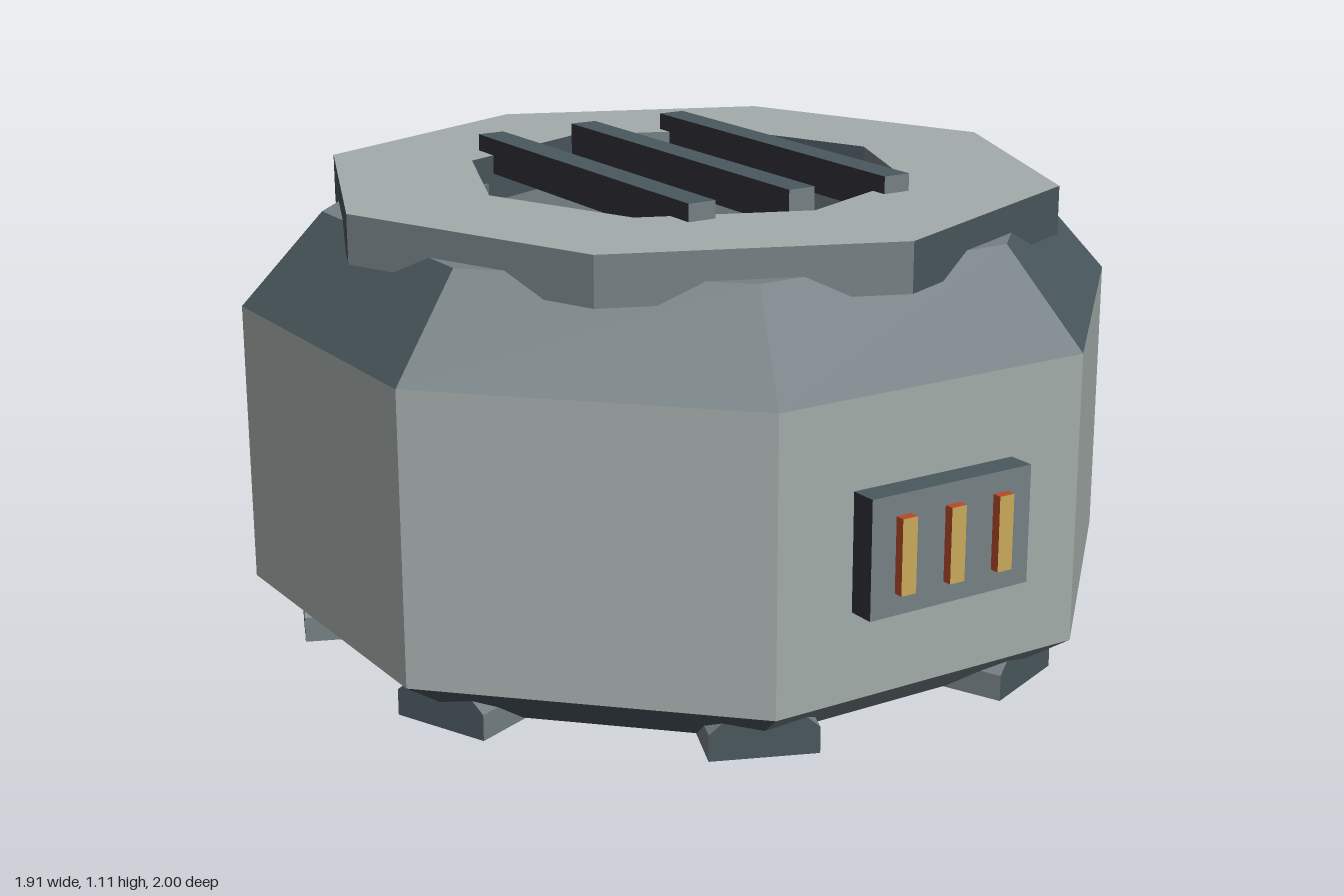
import * as THREE from 'three';

const mat = (name, color) => {
  const m = new THREE.MeshStandardMaterial({ color });
  m.name = name;
  return m;
};

export function createModel() {
  const hull = mat('light grey hull', 0xa3acaa);
  const mid = mat('mid slate', 0x758084);
  const dark = mat('dark slate', 0x4a585d);
  const coal = mat('charcoal', 0x2e2e38);
  const rust = mat('rust orange', 0xb8482a);
  const ochre = mat('ochre', 0xc9a95a);

  const model = new THREE.Group();
  const CZ = -0.0415; // axis of the octagonal body
  const AP = 1 / Math.cos(Math.PI / 8); // apothem to corner radius

  function add(parent, name, geo, material, x = 0, y = 0, z = 0) {
    const mesh = new THREE.Mesh(geo, material);
    mesh.name = name;
    mesh.position.set(x, y, z);
    parent.add(mesh);
    return mesh;
  }

  // One eight-sided band from (r0, y0) to (r1, y1); each side takes its own material
  function band(parent, name, turn, [r0, y0], [r1, y1], mats) {
    const pos = [];
    const geo = new THREE.BufferGeometry();
    const list = [...new Set(mats)];
    const pt = (r, y, k) => {
      const a = (k * Math.PI) / 4 + turn;
      return [r * Math.cos(a), y, r * Math.sin(a)];
    };
    for (let k = 0; k < 8; k++) {
      const a = pt(r0, y0, k), b = pt(r1, y1, k), c = pt(r1, y1, k + 1), d = pt(r0, y0, k + 1);
      const start = pos.length / 3;
      if (r0 > 0) pos.push(...a, ...b, ...d, ...b, ...c, ...d);
      else pos.push(...a, ...b, ...c);
      geo.addGroup(start, pos.length / 3 - start, list.indexOf(mats[k % mats.length]));
    }
    geo.setAttribute('position', new THREE.Float32BufferAttribute(pos, 3));
    geo.computeVertexNormals();
    add(parent, name, geo, list, 0, 0, CZ);
  }

  // Body: faces centred on the axes and diagonals, starting at +x and going towards +z
  const body = new THREE.Group();
  body.name = 'body';
  model.add(body);
  const turnBody = -Math.PI / 8;
  const wide = 0.957 * AP, narrow = 0.78 * AP, well = 0.497 * AP;
  const floorY = 0.42;
  band(body, 'underside', turnBody, [0, 0.004], [narrow, 0.004], [mid, dark]);
  band(body, 'lowerBevel', turnBody, [narrow, 0.004], [wide, 0.13], [mid, dark]);
  band(body, 'wall', turnBody, [wide, 0.13], [wide, 0.79], [hull]);
  band(body, 'upperBevel', turnBody, [wide, 0.79], [narrow, 1.005],
    [mid, dark, mid, mid, dark, mid, mid, dark]);
  band(body, 'shoulder', turnBody, [narrow, 1.005], [well, 1.005], [mid]);
  band(body, 'wellWall', turnBody, [well, 1.005], [well, floorY], [mid]);
  band(body, 'wellFloor', turnBody, [well, floorY], [0.001, floorY], [coal]);

  // Top ring, turned so that its corners lie on the axes
  const ring = new THREE.Group();
  ring.name = 'topRing';
  model.add(ring);
  const ringOut = 0.868, ringIn = 0.52;
  band(ring, 'ringUnderside', 0, [ringIn, 0.958], [ringOut, 0.958], [mid]);
  band(ring, 'ringOuterSide', 0, [ringOut, 0.958], [ringOut, 1.07],
    [mid, dark, mid, mid, dark, mid, dark, dark]);
  band(ring, 'ringTop', 0, [ringOut, 1.07], [ringIn, 1.07], [hull]);
  band(ring, 'ringInnerSide', 0, [ringIn, 1.07], [ringIn, 0.958], [mid, dark]);

  // Feet under the eight corners, with clipped top edges
  const footShape = new THREE.Shape([
    [-0.12, 0], [0.12, 0], [0.12, 0.06], [0.085, 0.09], [-0.085, 0.09], [-0.12, 0.06],
  ].map(([x, y]) => new THREE.Vector2(x, y)));
  const footGeo = new THREE.ExtrudeGeometry(footShape, { depth: 0.2, bevelEnabled: false });
  for (let k = 0; k < 8; k++) {
    const a = Math.PI / 8 + (k * Math.PI) / 4;
    const foot = add(model, 'foot', footGeo, [dark, mid],
      0.73 * Math.cos(a), 0, 0.73 * Math.sin(a) + CZ);
    foot.rotation.y = Math.PI / 2 - a;
  }

  // Grille bars across the opening (box sides: +x, -x, +y, -y, +z, -z)
  for (const x of [-0.26, 0, 0.26]) {
    add(model, 'grilleBar', new THREE.BoxGeometry(0.068, 0.085, 0.94),
      [coal, coal, dark, coal, mid, mid], x, 1.0675, CZ);
  }

  // Front panel with three glowing slots
  add(model, 'frontPanel', new THREE.BoxGeometry(0.416, 0.264, 0.08),
    [coal, coal, dark, coal, mid, mid], 0, 0.46, 0.938);
  for (const x of [-0.127, 0, 0.127]) {
    add(model, 'panelSlot', new THREE.BoxGeometry(0.038, 0.168, 0.04),
      [rust, rust, rust, rust, ochre, ochre], x, 0.461, 0.98);
  }

  // Faceted core inside the well: a cluster of two-tone lumps
  const core = new THREE.Group();
  core.name = 'core';
  core.position.set(0, 0.66, -0.03);
  model.add(core);
  const lumps = [
    [0, 0, 0, 0.18], [-0.14, 0.07, -0.06, 0.09], [0.14, 0.04, -0.03, 0.09],
    [-0.02, 0.03, 0.12, 0.09], [0.05, 0.12, -0.12, 0.085], [0.02, 0.15, 0.02, 0.09],
    [-0.08, -0.13, 0.05, 0.1], [0.08, -0.12, -0.05, 0.1],
  ];
  lumps.forEach(([x, y, z, r], i) => {
    const geo = new THREE.IcosahedronGeometry(r, 0);
    for (let f = 0; f < 20; f++) geo.addGroup(f * 3, 3, (f * 7 + i) % 5 < 2 ? 1 : 0);
    const lump = add(core, 'coreLump', geo, [rust, ochre], x, y, z);
    lump.rotation.set(i * 0.7, i * 1.1, i * 0.4);
  });

  return model;
}
